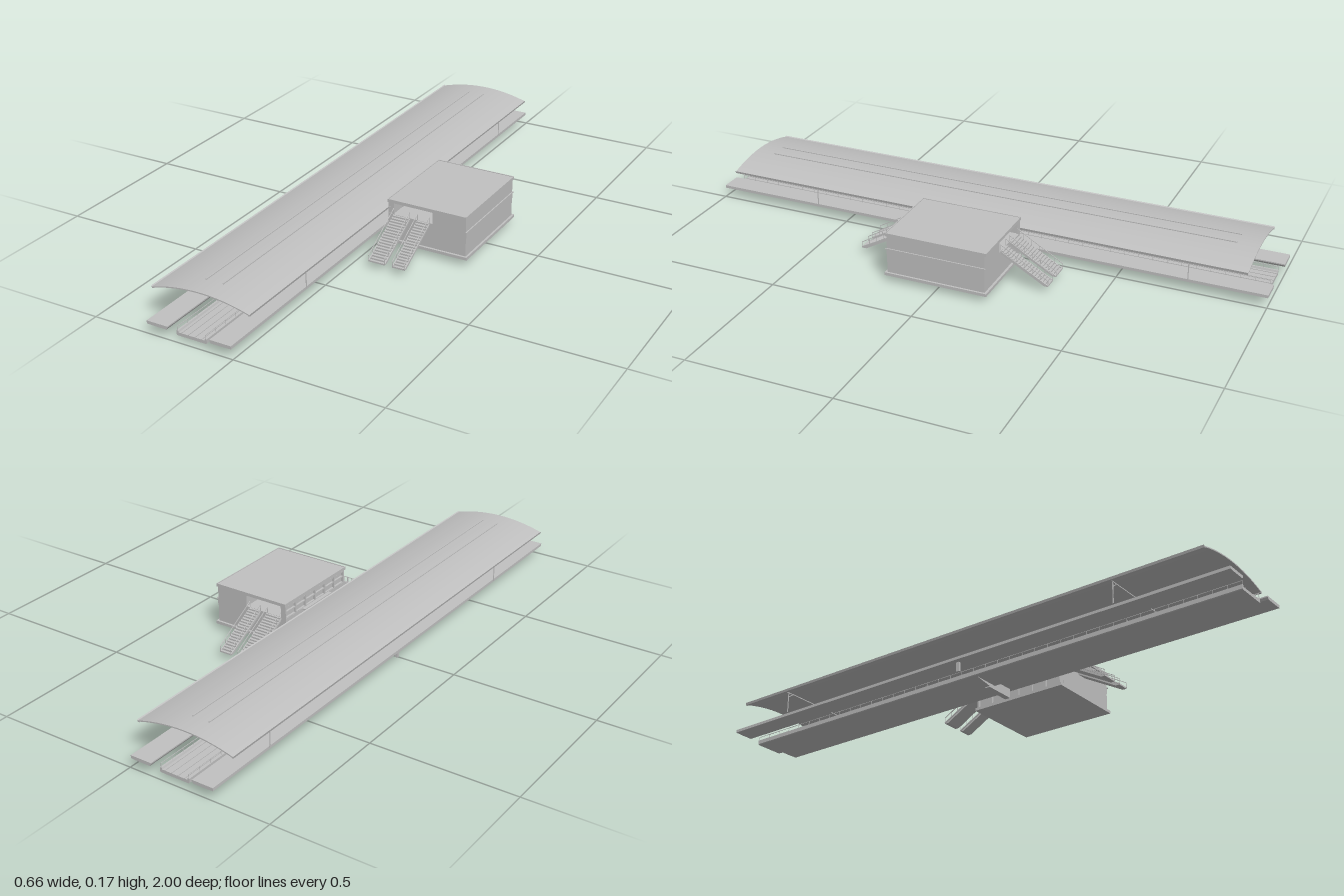
import * as THREE from 'three';

const concrete = new THREE.MeshStandardMaterial({ color: 0xc0c0c0 });
concrete.name = 'concrete grey';
const CX = -0.155; // centre line of the tracks

export function createModel() {
  const root = new THREE.Group();
  root.name = 'station';

  const add = (name, geo) => {
    const m = new THREE.Mesh(geo, concrete);
    m.name = name;
    root.add(m);
    return m;
  };
  // box given by its limits on each axis
  const box = (name, x0, x1, y0, y1, z0, z1) => {
    const m = add(name, new THREE.BoxGeometry(x1 - x0, y1 - y0, z1 - z0));
    m.position.set((x0 + x1) / 2, (y0 + y1) / 2, (z0 + z1) / 2);
    return m;
  };
  const shapeOf = pts => new THREE.Shape(pts.map(p => new THREE.Vector2(p[0], p[1])));
  // xy profile swept along z from z0 to z1
  const sweep = (name, pts, z0, z1) => {
    const g = new THREE.ExtrudeGeometry(shapeOf(pts), { depth: z1 - z0, bevelEnabled: false });
    return add(name, g.translate(0, 0, z0));
  };
  // thin square bar between two points
  const bar = (name, a, b, t) => {
    const A = new THREE.Vector3(...a), B = new THREE.Vector3(...b);
    const m = add(name, new THREE.BoxGeometry(t, t, A.distanceTo(B)));
    m.position.copy(A).add(B).multiplyScalar(0.5);
    m.lookAt(B);
    return m;
  };

  // Platforms with a chamfered track edge
  for (const s of [-1, 1]) {
    const X = d => CX + s * d;
    sweep('platform', [[X(0.15), 0.043], [X(0.15), 0.033], [X(0.125), 0.032],
      [X(0.079), 0.032], [X(0.075), 0.039], [X(0.075), 0.043]], -1, 1);
  }

  // Track viaduct: shallow trough with rounded lower corners
  const half = [[0.054, 0.03], [0.054, 0.016], [0.051, 0.0135]];
  sweep('trackDeck', [
    ...half.map(([d, y]) => [CX - d, y]), ...half.slice().reverse().map(([d, y]) => [CX + d, y]),
    [CX + 0.048, 0.03], [CX + 0.046, 0.024], [CX - 0.046, 0.024], [CX - 0.048, 0.03]], -0.985, 0.985);
  for (const s of [-1, 1]) {
    const x = CX + s * 0.0505;
    box('railingTop', x - 0.0007, x + 0.0007, 0.0425, 0.044, -0.985, 0.985);
    for (let i = 0; i <= 40; i++) {
      const z = -0.984 + i * 0.0492;
      box('railingPost', x - 0.0006, x + 0.0006, 0.03, 0.043, z - 0.0006, z + 0.0006);
    }
    for (const d of [0.012, 0.036]) {
      const r = CX + s * d;
      box('rail', r - 0.001, r + 0.001, 0.024, 0.026, -0.985, 0.985);
    }
  }

  // Supports at mid length
  box('platformLeg', -0.289, -0.280, 0, 0.033, -0.006, 0.006);
  sweep('crossBeam', [[-0.2, 0.0135], [-0.13, 0.003], [-0.1, 0.003], [-0.1, 0.0135]], -0.01, 0.01);
  for (const [a, b] of [[-0.132, -0.112], [-0.112, -0.088], [-0.088, -0.065], [-0.065, -0.043], [-0.043, -0.021]])
    box('supportBlock', a, b, 0, 0.0425, -0.01, 0.01);

  // Curved canopy over the tracks
  const arcY = x => 0.145 - 0.026 * ((x - CX) / 0.173) ** 2;
  const top = [], under = [];
  for (let i = 0; i <= 28; i++) {
    const x = CX - 0.173 + 0.346 * i / 28;
    top.push([x, arcY(x)]);
    under.unshift([x, arcY(x) - 0.004]);
  }
  sweep('canopy', [...top, ...under], -0.935, 0.935);
  for (const s of [-1, 1]) {
    const X = d => CX + s * d;
    sweep('gutter', [[X(0.176), 0.122], [X(0.174), 0.114], [X(0.168), 0.114],
      [X(0.168), 0.117], [X(0.172), 0.118]], -0.935, 0.935);
    box('ridgeBar', X(0.03) - 0.002, X(0.03) + 0.002, 0.142, 0.147, -0.86, 0.86);
  }
  // Tie beams, columns and braces
  for (const z of [-0.74, 0.61]) {
    box('tieBeam', CX - 0.17, CX + 0.17, 0.115, 0.118, z - 0.0015, z + 0.0015);
    for (const s of [-1, 1]) {
      const x = CX + s * 0.156;
      box('canopyColumn', x - 0.001, x + 0.001, 0.043, 0.117, z - 0.0015, z + 0.0015);
      bar('columnBrace', [x, 0.1, z], [x - s * 0.022, 0.117, z], 0.002);
    }
  }
  for (const z of [-0.47, 0.34]) box('hangerRod', -0.001, 0.001, 0.1, 0.118, z - 0.001, z + 0.001);

  // Station building
  box('baseSlab', 0.034, 0.33, 0.022, 0.032, -0.18, 0.18);
  box('lowerStorey', 0.058, 0.323, 0.032, 0.096, -0.172, 0.172);
  box('floorSlab', 0.04, 0.325, 0.096, 0.119, -0.172, 0.172);
  box('upperRoom', 0.203, 0.323, 0.119, 0.162, -0.172, 0.172);
  box('eastBand', 0.323, 0.327, 0.115, 0.119, -0.176, 0.176);
  box('roofSlab', 0.04, 0.325, 0.162, 0.171, -0.178, 0.178);
  for (const z of [-0.178, 0.175]) box('roofRim', 0.04, 0.325, 0.171, 0.173, z, z + 0.003);
  for (const x of [0.04, 0.322]) box('roofRim', x, x + 0.003, 0.171, 0.173, -0.175, 0.175);

  // Glazed wall facing the tracks
  box('trackWall', 0.048, 0.058, 0.032, 0.162, -0.17, 0.17);
  for (let i = 0; i <= 6; i++) {
    const z = -0.172 + i * 0.0563;
    box('mullion', 0.04, 0.06, 0.032, 0.162, z - 0.0025, z + 0.0025 + (i === 6 ? 0.002 : 0));
  }
  for (const y of [0.032, 0.078, 0.117, 0.139, 0.157])
    box('windowRail', 0.041, 0.05, y, y + 0.004, -0.172, 0.172);
  box('bridge', 0.013, 0.041, 0.095, 0.1, -0.08, 0.075);
  box('awning', 0.028, 0.041, 0.115, 0.119, -0.08, 0.075);

  // Flights of steps at both ends of the building
  const N = 18, zTop = 0.17, zLow = 0.335, yTop = 0.118, yLow = 0.022;
  const dz = (zLow - zTop) / N, dy = (yTop - yLow) / N;
  const profile = [];
  for (let i = 0; i < N; i++) {
    profile.push([zTop + i * dz, yTop - i * dy], [zTop + (i + 1) * dz, yTop - i * dy]);
  }
  profile.push([zLow, yLow], [zLow - 0.014, yLow], [zTop, yTop - 0.012]);
  for (const s of [-1, 1]) {
    for (const [x0, x1] of [[0.06, 0.118], [0.147, 0.19]]) {
      // profile lies in (z, y); turn it so that it runs along x
      const g = new THREE.ExtrudeGeometry(shapeOf(profile), { depth: x1 - x0, bevelEnabled: false });
      g.rotateY(-Math.PI / 2);
      const steps = add('steps', g);
      if (s > 0) steps.position.x = x1;
      else { steps.rotation.y = Math.PI; steps.position.x = x0; }
      for (const x of [x0, x1]) {
        bar('handrail', [x, yTop + 0.022, s * zTop], [x, yLow + 0.022, s * zLow], 0.002);
        bar('stringer', [x, yTop - 0.003, s * zTop], [x, yLow + 0.003, s * zLow], 0.004);
        for (let i = 0; i <= 6; i++) {
          const z = s * (zTop + (zLow - zTop) * i / 6), y = yTop + (yLow - yTop) * i / 6;
          box('handrailPost', x - 0.0007, x + 0.0007, y, y + 0.022, z - 0.0007, z + 0.0007);
        }
      }
    }
  }

  return root;
}
